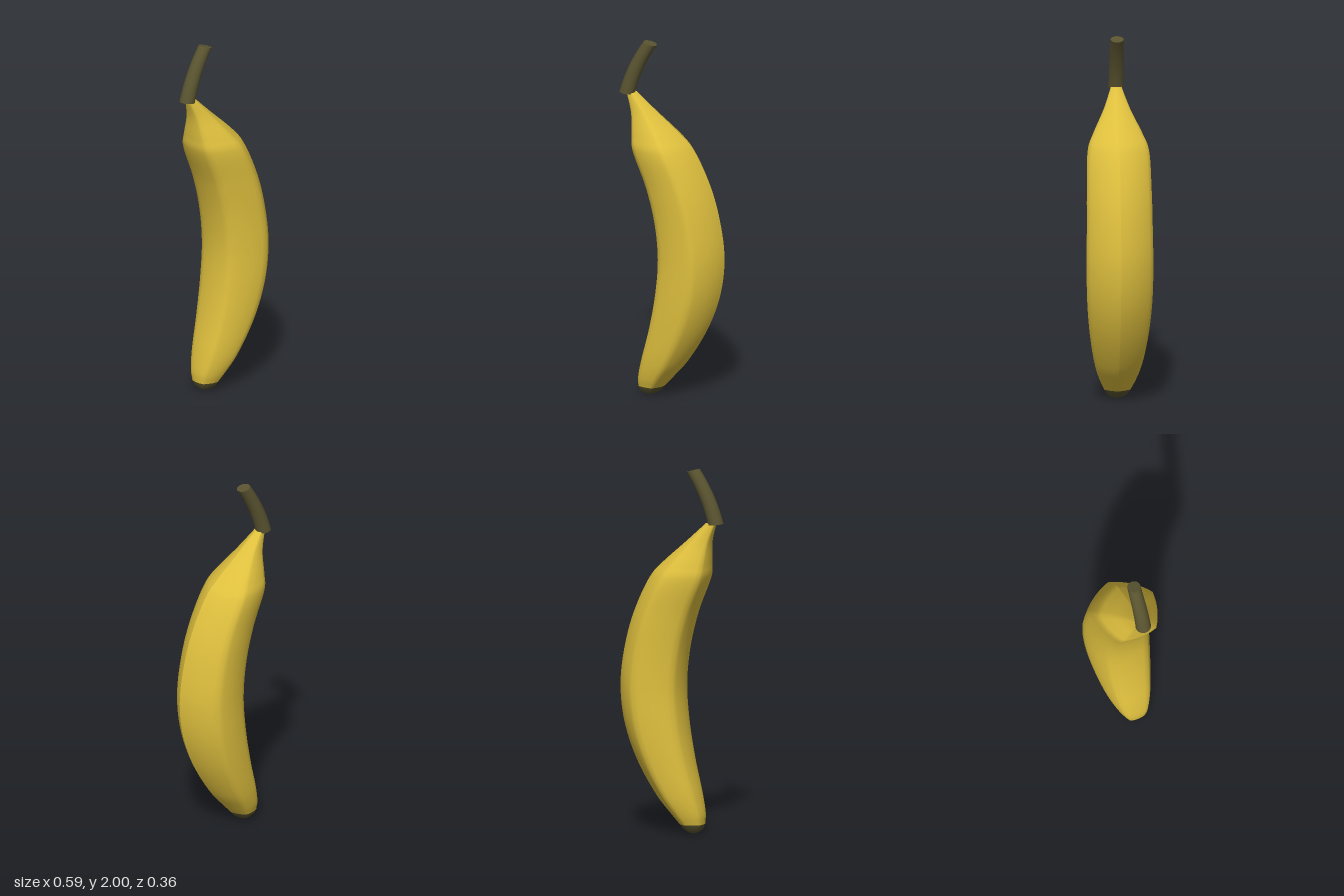
import * as THREE from 'three';

const SEGMENTS = 40;

// Ring radius factor: a rounded pentagon with ridges, one of them on +x
function pentagon(angle) {
  const f = (angle / (Math.PI * 2 / 5)) % 1;
  return 0.9 + 0.1 * (2 * f - 1) ** 2;
}
const round = () => 1;

// Skins rings { x, y, r, slope } listed from bottom to top; both ends get flat caps
function loft(rings, shape) {
  const positions = [], index = [], row = SEGMENTS + 1;
  const addRing = ({ x, y, r, slope = 0 }) => {
    for (let i = 0; i <= SEGMENTS; i++) {
      const a = (i / SEGMENTS) * Math.PI * 2;
      const d = r * shape(a % (Math.PI * 2));
      const dx = d * Math.cos(a);
      positions.push(x + dx, y + slope * dx, d * Math.sin(a));
    }
  };
  rings.forEach(addRing);
  for (let j = 0; j < rings.length - 1; j++) {
    for (let i = 0; i < SEGMENTS; i++) {
      const a = j * row + i, b = a + row;
      index.push(a, b, a + 1, a + 1, b, b + 1);
    }
  }
  const addCap = (ring, up) => {
    const start = positions.length / 3;
    addRing(ring);
    positions.push(ring.x, ring.y, 0);
    const centre = start + row;
    for (let i = start; i < start + SEGMENTS; i++) {
      index.push(centre, up ? i + 1 : i, up ? i : i + 1);
    }
  };
  addCap(rings[0], false);
  addCap(rings[rings.length - 1], true);
  const geometry = new THREE.BufferGeometry();
  geometry.setAttribute('position', new THREE.Float32BufferAttribute(positions, 3));
  geometry.setIndex(index);
  geometry.computeVertexNormals();
  return geometry;
}

// Pentagon ring from its inner and outer x at a height
function ringBetween(inner, y, outer) {
  const r = (outer - inner) / (1 + Math.cos(Math.PI / 5));
  return { x: outer - r, y, r };
}

export function createModel() {
  const peel = new THREE.MeshStandardMaterial({ color: 0xdfc03e });
  peel.name = 'yellow peel';
  const bark = new THREE.MeshStandardMaterial({ color: 0x5a5430 });
  bark.name = 'dark olive';

  const group = new THREE.Group();
  group.name = 'banana';
  const add = (name, geometry, material) => {
    const mesh = new THREE.Mesh(geometry, material);
    mesh.name = name;
    group.add(mesh);
  };

  // Peel: inner x, height, outer x of the curved fruit
  const profile = new THREE.CatmullRomCurve3([
    [-0.18, 0.05, -0.045], [-0.178, 0.1, 0.0], [-0.155, 0.2, 0.085],
    [-0.102, 0.4, 0.203], [-0.065, 0.6, 0.273], [-0.05, 0.8, 0.295],
    [-0.069, 1.0, 0.272], [-0.118, 1.2, 0.217], [-0.198, 1.41, 0.115],
    [-0.207, 1.48, 0.05], [-0.222, 1.6, -0.085], [-0.255, 1.705, -0.2],
  ].map((p) => new THREE.Vector3(...p)));
  const body = profile.getPoints(66).map((p) => ringBetween(p.x, p.y, p.z));
  add('peel', loft(body, pentagon), peel);

  // Blossom end: short dark tip below the peel
  const tip = [
    [-0.14, 0, -0.115], [-0.158, 0.008, -0.09], [-0.174, 0.025, -0.065], [-0.18, 0.05, -0.045],
  ].map((p) => ringBetween(...p));
  add('blossomTip', loft(tip, pentagon), bark);

  // Stem: bent, slightly tapering, with slanted ends
  const path = new THREE.QuadraticBezierCurve(
    new THREE.Vector2(-0.257, 1.7),
    new THREE.Vector2(-0.218, 1.855),
    new THREE.Vector2(-0.126, 1.99),
  );
  const stem = path.getPoints(12).map((p, i) => ({
    x: p.x,
    y: p.y,
    r: THREE.MathUtils.lerp(0.042, 0.036, i / 12),
    slope: THREE.MathUtils.lerp(-0.12, -0.27, i / 12),
  }));
  add('stem', loft(stem, round), bark);

  return group;
}
